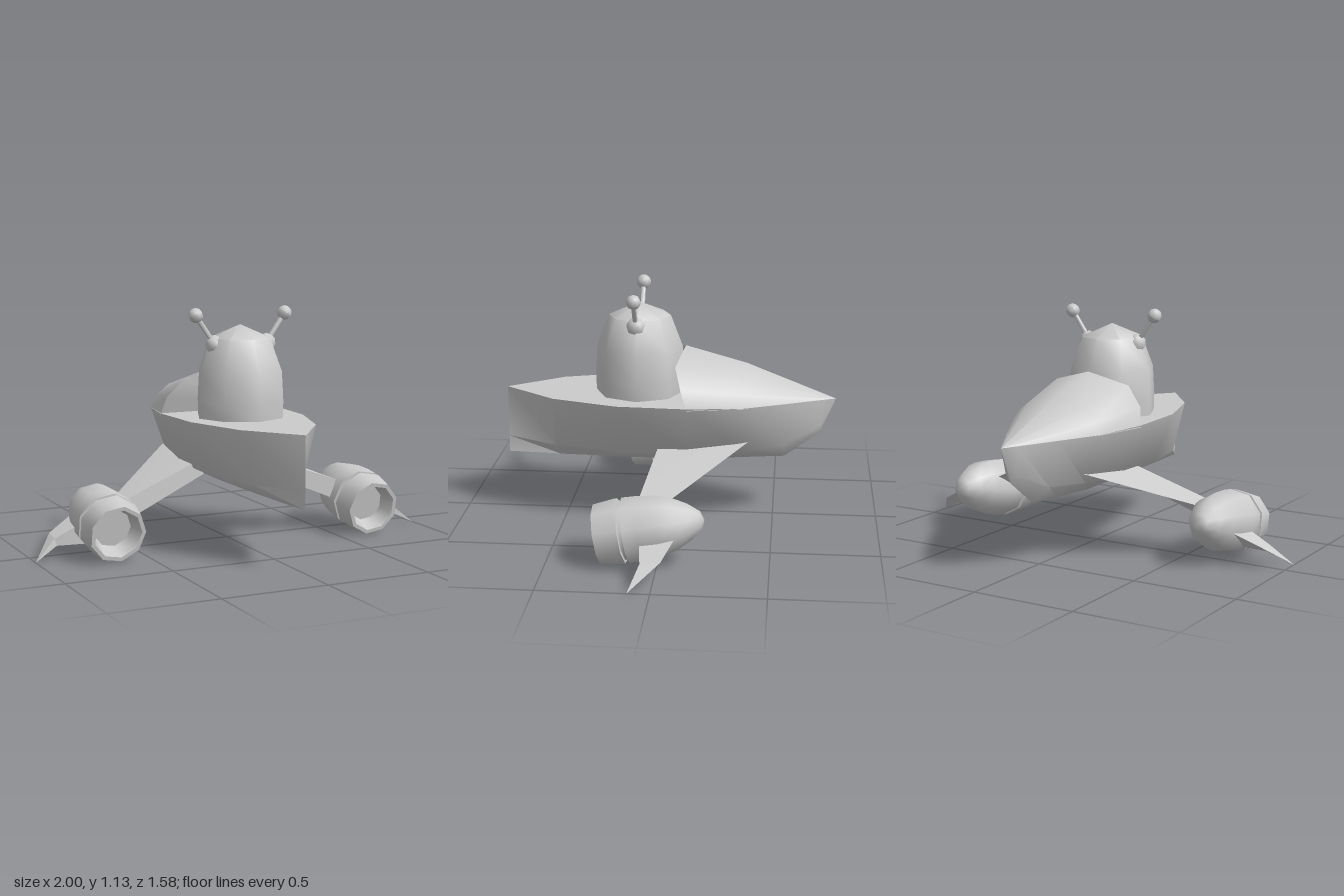
import * as THREE from 'three';
import { toCreasedNormals } from 'three/addons/utils/BufferGeometryUtils.js';

const material = new THREE.MeshStandardMaterial({ color: 0xcccccc, side: THREE.DoubleSide });

function addMesh(parent, name, geometry, crease = 0.9) {
  const mesh = new THREE.Mesh(toCreasedNormals(geometry, crease), material);
  mesh.name = name;
  parent.add(mesh);
  return mesh;
}

// Closed solid through rings of [x, y, z] points, capped at both ends and wound outward
function loft(rings) {
  const tris = [];
  const tri = (...p) => {
    const [a, b, c] = p.map((q) => new THREE.Vector3(...q));
    if (b.clone().sub(a).cross(c.clone().sub(a)).length() > 1e-7) tris.push([a, b, c]);
  };
  const n = rings[0].length;
  for (let i = 0; i < rings.length - 1; i++) {
    for (let j = 0; j < n; j++) {
      const k = (j + 1) % n, r = rings[i], s = rings[i + 1];
      tri(r[j], r[k], s[k]);
      tri(r[j], s[k], s[j]);
    }
  }
  const last = rings[rings.length - 1];
  for (let j = 1; j < n - 1; j++) {
    tri(rings[0][0], rings[0][j + 1], rings[0][j]);
    tri(last[0], last[j], last[j + 1]);
  }
  const volume = tris.reduce((v, [a, b, c]) => v + a.dot(b.clone().cross(c)), 0);
  const points = tris.flatMap(([a, b, c]) => (volume > 0 ? [a, b, c] : [a, c, b]));
  return new THREE.BufferGeometry().setFromPoints(points);
}

const lathe = (profile, sides) =>
  new THREE.LatheGeometry(profile.map(([r, y]) => new THREE.Vector2(r, y)), sides);

function addHull(group) {
  // z, half width, deck y, bilge y, keel y
  const stations = [
    [0.79, 0, 0.62, 0.37, 0.29], [0.54, 0.19, 0.62, 0.37, 0.283],
    [0.23, 0.29, 0.62, 0.37, 0.277], [-0.1, 0.305, 0.62, 0.37, 0.275],
    [-0.36, 0.245, 0.612, 0.38, 0.293], [-0.55, 0.14, 0.607, 0.39, 0.305],
    [-0.72, 0.04, 0.602, 0.47, 0.43], [-0.79, 0, 0.6, 0.6, 0.6],
  ];
  addMesh(group, 'hull', loft(stations.map(([z, w, top, bilge, keel]) => [
    [w, top, z], [w * 0.66, bilge, z], [0, keel, z], [-w * 0.66, bilge, z], [-w, top, z],
  ])));

  // Rear cover: z at foot, shoulder and ridge, half width, foot y, shoulder x and y, ridge y
  const cover = [
    [-0.1, -0.04, -0.075, 0.303, 0.61, 0.2, 0.79, 0.845],
    [-0.36, -0.36, -0.36, 0.245, 0.61, 0.15, 0.725, 0.765],
    [-0.79, -0.79, -0.79, 0, 0.6, 0, 0.6, 0.6],
  ];
  addMesh(group, 'rearCover', loft(cover.map(([zf, zs, zr, w, yf, xs, ys, yr]) => [
    [w, yf, zf], [(w + xs) / 2 + 0.1 * w, (yf + ys) / 2, (zf + zs) / 2], [xs, ys, zs], [0, yr, zr],
    [-xs, ys, zs], [-(w + xs) / 2 - 0.1 * w, (yf + ys) / 2, (zf + zs) / 2], [-w, yf, zf],
  ])));
}

function addCabin(group) {
  const dome = lathe([[0, 0.61], [0.21, 0.61], [0.213, 0.7], [0.205, 0.84], [0.148, 0.99], [0, 1.053]], 8);
  addMesh(group, 'cabinDome', dome).position.z = 0.145;
}

function addAntenna(group, side) {
  const antenna = new THREE.Group();
  antenna.name = side > 0 ? 'leftAntenna' : 'rightAntenna';
  antenna.position.set(side * 0.135, 0.965, 0.15);
  antenna.rotation.z = -side * 0.61;
  addMesh(antenna, 'antennaBase',
    lathe([[0, -0.02], [0.045, -0.01], [0.043, 0.012], [0.026, 0.035], [0, 0.042]], 8));
  const stem = new THREE.CylinderGeometry(0.012, 0.012, 0.16, 8);
  addMesh(antenna, 'antennaStem', stem).position.y = 0.08;
  const tip = new THREE.SphereGeometry(0.035, 8, 6);
  addMesh(antenna, 'antennaTip', tip).position.y = 0.165;
  group.add(antenna);
}

function addEngine(group, side) {
  const word = side > 0 ? 'left' : 'right';
  const mirror = (ring) => ring.map(([x, y, z]) => [side * x, y, z]);

  // Wedge-shaped strut: thick leading edge, sharp trailing edge
  addMesh(group, word + 'Strut', loft([
    mirror([[0.15, 0.41, 0.035], [0.14, 0.335, 0.035], [0.15, 0.435, -0.4]]),
    mirror([[0.57, 0.255, 0.1], [0.56, 0.16, 0.1], [0.57, 0.255, -0.025]]),
  ]), 0.2);

  // Hollow nozzle, groove and tapered body, turned from front to rear
  const pod = lathe([
    [0, 0.08], [0.09, 0.08], [0.112, 0.02], [0.115, 0], [0.134, 0],
    [0.148, 0.1], [0.148, 0.112], [0.132, 0.114], [0.132, 0.13], [0.148, 0.132],
    [0.146, 0.2], [0.137, 0.28], [0.119, 0.35], [0.082, 0.42], [0.042, 0.47], [0, 0.485],
  ], 9);
  pod.rotateY(-side * Math.PI / 2).rotateX(-Math.PI * 80 / 180);
  addMesh(group, word + 'Engine', pod).position.set(side * 0.665, 0.14, 0.268);

  // Swept outer fin
  addMesh(group, word + 'Fin', loft([
    mirror([[0.76, 0.165, 0.07], [0.75, 0.065, 0.07], [0.76, 0.175, -0.09]]),
    mirror([[0.895, 0.1, 0.055], [0.885, 0.065, 0.055], [0.89, 0.108, -0.035]]),
    mirror([[1, 0.008, 0.1], [1, 0.008, 0.1], [1, 0.008, 0.1]]),
  ]), 0.2);
}

export function createModel() {
  const group = new THREE.Group();
  group.name = 'spaceship';
  addHull(group);
  addCabin(group);
  for (const side of [1, -1]) {
    addAntenna(group, side);
    addEngine(group, side);
  }
  return group;
}
